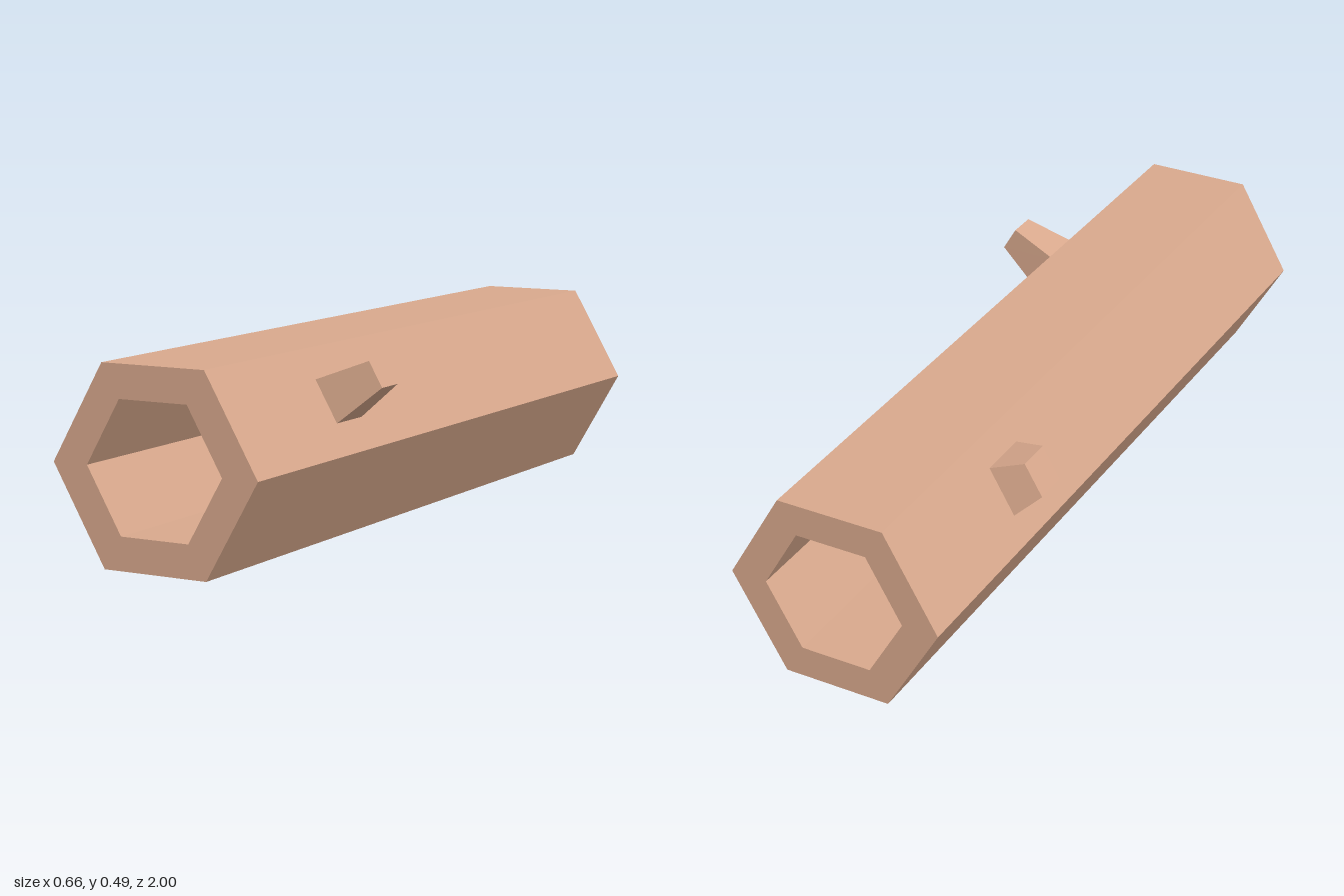
import * as THREE from 'three';

const CENTER_X = -0.022, CENTER_Y = 0.244;

// Corners of a hexagon with flat top and bottom
function hexagon(radius) {
  return Array.from({ length: 6 }, (_, i) => {
    const a = (i * Math.PI) / 3;
    return new THREE.Vector2(CENTER_X + radius * Math.cos(a), CENTER_Y + radius * Math.sin(a));
  });
}

// Tapered four-sided stub: side is +1 or -1 in x; base and tip list the upper
// and lower corner in x, y, followed by the half width in z
function makeStub(side, z, base, tip) {
  let geometry = new THREE.BoxGeometry(2, 2, 2);
  const p = geometry.attributes.position;
  for (let i = 0; i < p.count; i++) {
    const [upper, lower, half] = p.getX(i) * side > 0 ? tip : base;
    const [x, y] = p.getY(i) > 0 ? upper : lower;
    p.setXYZ(i, x, y, z + half * p.getZ(i));
  }
  geometry = geometry.toNonIndexed();
  geometry.computeVertexNormals();
  return geometry;
}

export function createModel() {
  const group = new THREE.Group();
  const wood = new THREE.MeshStandardMaterial({ color: 0xd9a98d });
  wood.name = 'wood';

  const add = (name, geometry) => {
    const mesh = new THREE.Mesh(geometry, wood);
    mesh.name = name;
    group.add(mesh);
  };

  // Hollow six-sided trunk, open at both ends
  const ring = new THREE.Shape(hexagon(0.281));
  ring.holes.push(new THREE.Path(hexagon(0.186).reverse()));
  const trunk = new THREE.ExtrudeGeometry(ring, { depth: 2, bevelEnabled: false });
  trunk.translate(0, 0, -1);
  add('hollowTrunk', trunk);

  // Broken branch stubs on the two upper sides
  add('leftBranch', makeStub(1, 0.515,
    [[0.158, 0.417], [0.216, 0.314], 0.06],
    [[0.293, 0.468], [0.329, 0.406], 0.038]));
  add('rightBranch', makeStub(-1, -0.497,
    [[-0.198, 0.424], [-0.265, 0.308], 0.068],
    [[-0.283, 0.449], [-0.33, 0.369], 0.046]));

  return group;
}
